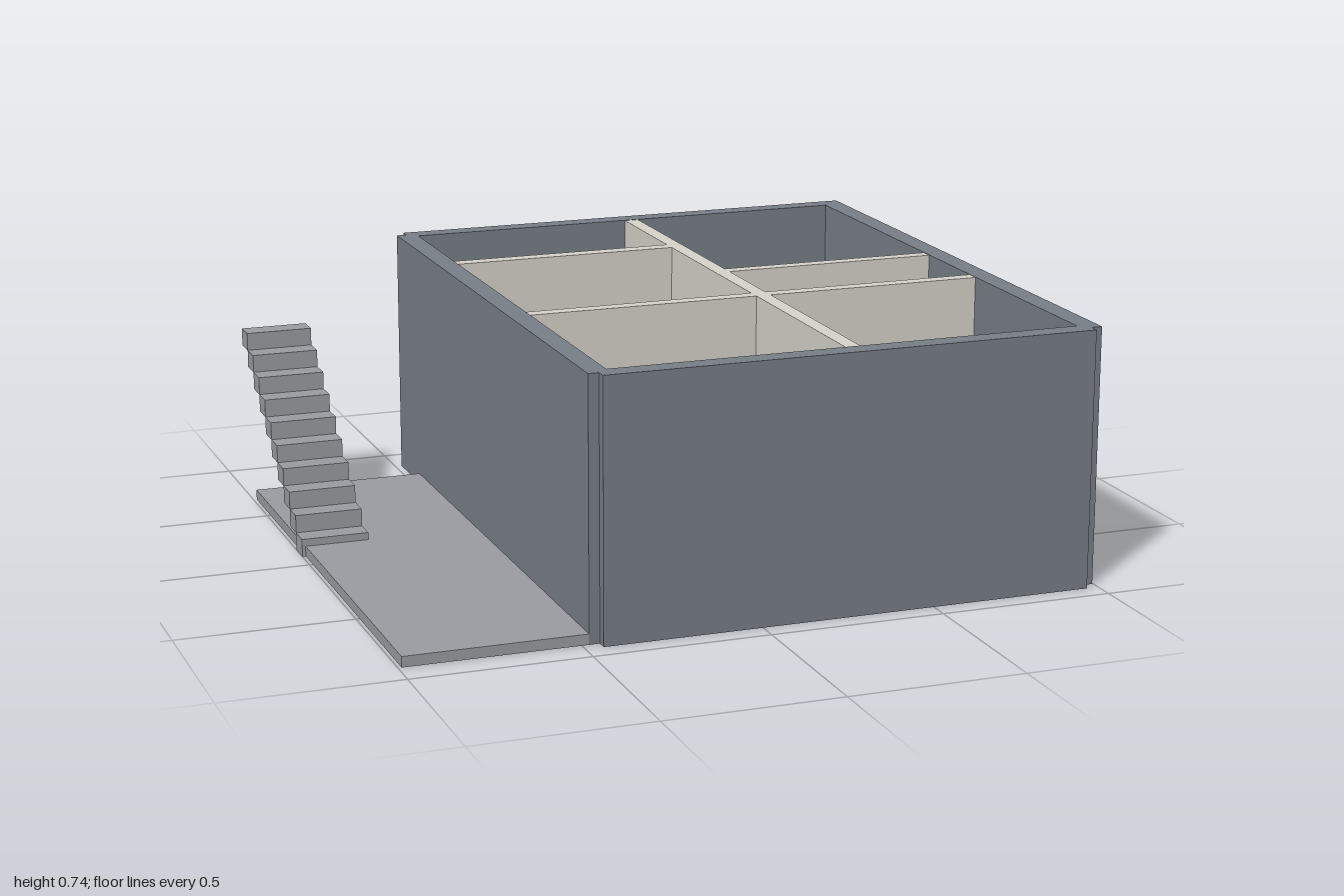
import * as THREE from 'three';

const mat = (color) => new THREE.MeshStandardMaterial({ color });
const wall = mat(0x7a8088), plaster = mat(0xd8d6cc), slab = mat(0x9c9ea3);
const garage = mat(0xa6a9ad), tile = mat(0xb2b2b2), parquet = mat(0x9e8060), bath = mat(0xbec6d2);
const wood = mat(0x906b4c), fabric = mat(0x5e90c8), dark = mat(0x59565f), white = mat(0xdcdcd8);

export function createModel() {
  const house = new THREE.Group();
  house.name = 'house';

  const group = (name) => {
    const g = new THREE.Group();
    g.name = name;
    house.add(g);
    return g;
  };
  // Box given by its extents along each axis
  const box = (parent, name, material, [x0, x1], [y0, y1], [z0, z1]) => {
    const mesh = new THREE.Mesh(new THREE.BoxGeometry(x1 - x0, y1 - y0, z1 - z0), material);
    mesh.position.set((x0 + x1) / 2, (y0 + y1) / 2, (z0 + z1) / 2);
    mesh.name = name;
    parent.add(mesh);
  };

  // Outer walls, with small notches at three corners
  const outer = group('outerWalls');
  const H = [0, 0.735];
  box(outer, 'frontWall', wall, [-0.45, 0.965], H, [0.88, 0.94]);
  box(outer, 'backWall', wall, [-0.45, 0.997], H, [-0.905, -0.847]);
  box(outer, 'rightHandWall', wall, [-0.48, -0.42], H, [-0.875, 0.91]);
  box(outer, 'leftHandWall', wall, [0.936, 0.997], H, [-0.875, 0.91]);

  // Inner partitions
  const inner = group('partitions');
  const P = [0.001, 0.734];
  box(inner, 'spineWall', plaster, [0.253, 0.296], P, [-0.85, 0.885]);
  box(inner, 'kitchenWall', plaster, [-0.425, 0.255], P, [-0.473, -0.43]);
  box(inner, 'bedroomWall', plaster, [0.294, 0.94], P, [-0.104, -0.066]);
  box(inner, 'livingWall', plaster, [-0.425, 0.255], P, [0.21, 0.25]);
  box(inner, 'bathroomWall', plaster, [0.294, 0.94], P, [0.21, 0.25]);

  // Room floors
  const floors = group('floors');
  const F = [0.003, 0.02], L = [-0.42, 0.253], R = [0.296, 0.936];
  box(floors, 'kitchenFloor', tile, L, F, [-0.847, -0.473]);
  box(floors, 'livingFloor', tile, L, F, [-0.43, 0.2]);
  box(floors, 'thresholdFloor', garage, L, [0.003, 0.015], [0.2, 0.21]);
  box(floors, 'bedroomFloor', parquet, R, F, [-0.847, -0.104]);
  box(floors, 'bathroomFloor', bath, R, F, [-0.066, 0.21]);
  box(floors, 'frontRightFloor', garage, L, F, [0.25, 0.88]);
  box(floors, 'frontLeftFloor', garage, R, F, [0.25, 0.88]);

  // Bed, its head running through the back wall
  const bed = group('bed');
  box(bed, 'bedFrame', wood, [0.4, 0.85], [0.021, 0.125], [-0.944, -0.41]);
  box(bed, 'mattress', fabric, [0.415, 0.84], [0.125, 0.177], [-0.928, -0.42]);
  for (const x of [0.43, 0.683]) {
    box(bed, 'pillow', white, [x, x + 0.138], [0.177, 0.205], [-0.89, -0.8]);
  }

  // Living room
  const living = group('livingRoom');
  box(living, 'sofa', fabric, [-0.28, 0.12], [0.02, 0.15], [-0.205, -0.02]);
  box(living, 'table', wood, [-0.21, 0.045], [0.02, 0.12], [-0.35, -0.205]);

  // Kitchen
  const kitchen = group('kitchen');
  box(kitchen, 'counter', dark, [-0.42, -0.268], [0.001, 0.25], [-0.847, -0.51]);
  box(kitchen, 'sink', wall, [-0.405, -0.295], [0.25, 0.26], [-0.8, -0.665]);

  // Toilet
  const toilet = group('toilet');
  box(toilet, 'toiletBowl', white, [0.71, 0.823], [0.02, 0.13], [0.01, 0.15]);
  box(toilet, 'toiletTank', white, [0.71, 0.823], [0.02, 0.22], [0.15, 0.209]);

  // Paved yard and floating steps rising to the back
  box(house, 'yard', slab, [-0.99, -0.48], [0, 0.03], [-0.675, 0.91]);
  const stairs = group('stairs');
  const rise = 0.0513, tread = 0.0675;
  for (let i = 0; i < 10; i++) {
    const z = -0.08 - i * tread;
    box(stairs, 'step', slab, [-1, -0.805], [i * rise, (i + 1) * rise], [z - tread, z]);
  }
  return house;
}
